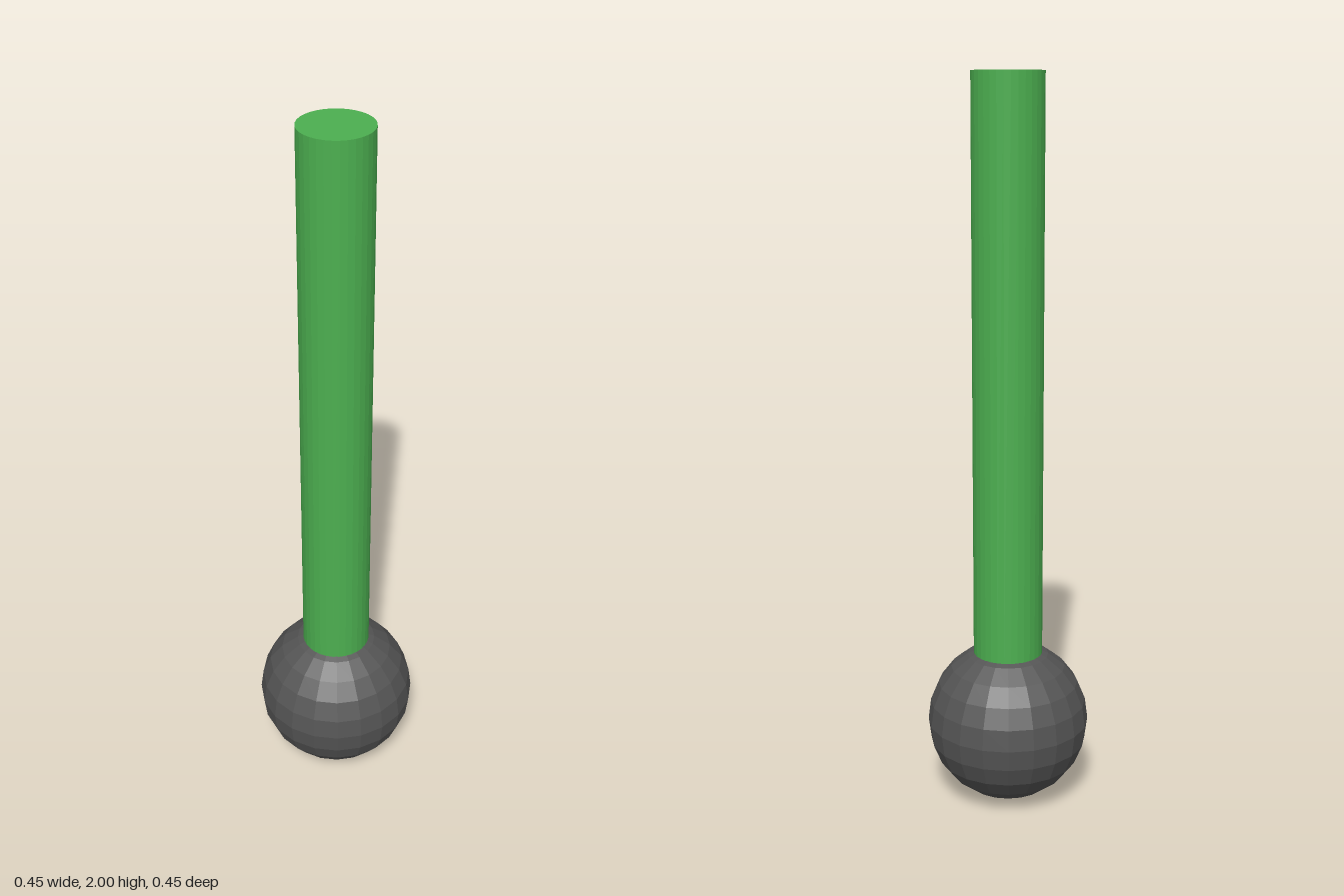
import * as THREE from 'three';

const BALL_RADIUS = 0.225;
const ROD_RADIUS = 0.096;
const ROD_BOTTOM = 0.4;
const HEIGHT = 2;

export function createModel() {
  const model = new THREE.Group();
  model.name = 'ballEndedRod';

  const addPart = (name, geometry, color, y) => {
    const material = new THREE.MeshStandardMaterial({ color, flatShading: true });
    const mesh = new THREE.Mesh(geometry, material);
    mesh.name = name;
    mesh.position.y = y;
    model.add(mesh);
  };

  // Faceted ball resting on the ground
  addPart('ball', new THREE.SphereGeometry(BALL_RADIUS, 20, 12), 0x555555, BALL_RADIUS);

  // Upright rod, its lower end sunk slightly into the ball
  const length = HEIGHT - ROD_BOTTOM;
  addPart('rod', new THREE.CylinderGeometry(ROD_RADIUS, ROD_RADIUS, length, 32), 0x4caf50, ROD_BOTTOM + length / 2);

  return model;
}
